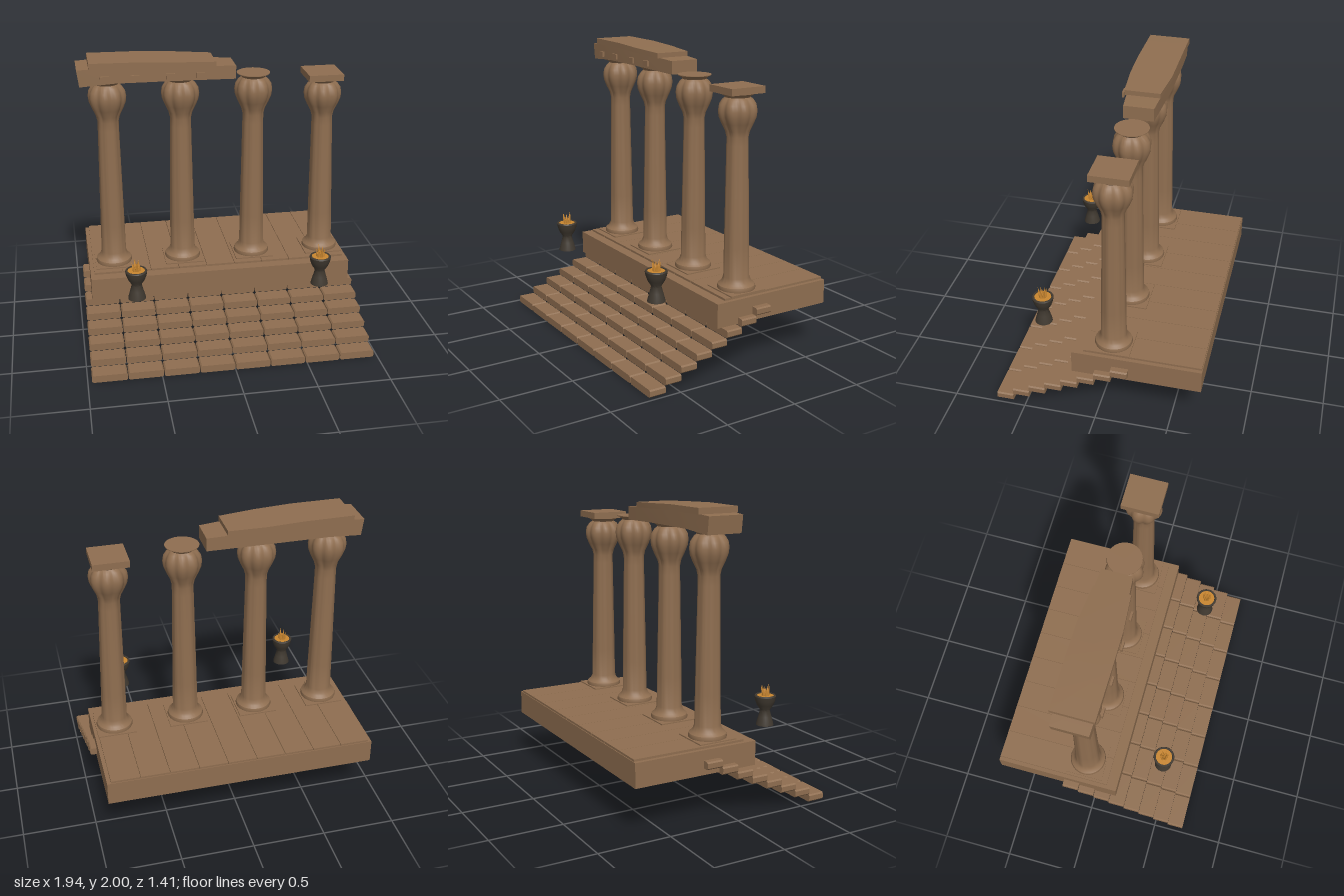
import * as THREE from 'three';
import { toCreasedNormals } from 'three/addons/utils/BufferGeometryUtils.js';

const mat = (name, color) => {
  const m = new THREE.MeshStandardMaterial({ color });
  m.name = name;
  return m;
};

export function createModel() {
  const root = new THREE.Group();
  root.name = 'ruinedColonnade';
  const stone = mat('sandstone', 0x8f6e50);
  const iron = mat('darkIron', 0x403930);
  const ember = mat('ember', 0xc9862f);

  const add = (parent, name, geo, m, x = 0, y = 0, z = 0) => {
    const mesh = new THREE.Mesh(geo, m);
    mesh.name = name;
    mesh.position.set(x, y, z);
    parent.add(mesh);
    return mesh;
  };
  const group = (name, parent = root) => {
    const g = new THREE.Group();
    g.name = name;
    parent.add(g);
    return g;
  };
  const box = (w, h, d) => new THREE.BoxGeometry(w, h, d);
  const points = list => list.map(([r, y]) => new THREE.Vector2(r, y));

  // Platform with long paving slabs
  add(root, 'platform', box(1.85, 0.165, 0.88), stone, 0, 0.408, -0.265);
  const paving = group('paving');
  for (let i = 0; i < 9; i++) {
    add(paving, 'pavingSlab', box(0.197, 0.02, 0.8), stone, (i - 4) * 0.2, 0.495, -0.3);
  }

  // Floating stair: eight rows of eight chamfered blocks
  const w = 0.119, h = 0.0255, c = 0.009;
  const outline = new THREE.Shape(points([
    [-w + c, -h], [w - c, -h], [w, -h + c], [w, h - c],
    [w - c, h], [-w + c, h], [-w, h - c], [-w, -h + c]]));
  const blockGeo = new THREE.ExtrudeGeometry(outline, { depth: 0.115, bevelEnabled: false });
  blockGeo.translate(0, 0, -0.0575);
  const stairs = group('stairs');
  for (let row = 0; row < 8; row++) {
    for (let i = 0; i < 8; i++) {
      add(stairs, 'stepBlock', blockGeo, stone,
        (i - 3.5) * 0.2435, 0.0265 + row * 0.0528, 0.65 - row * 0.1155);
    }
  }

  // Columns: a turned profile with eight lobes swelling in the capital
  const profile = points([
    [0, 0], [0.122, 0], [0.127, 0.015], [0.122, 0.035], [0.104, 0.05], [0.095, 0.065],
    [0.088, 0.09], [0.085, 0.3], [0.079, 0.65], [0.073, 1.0], [0.073, 1.06],
    [0.083, 1.1], [0.108, 1.15], [0.126, 1.195], [0.131, 1.235], [0.124, 1.275],
    [0.104, 1.305], [0.08, 1.322], [0.085, 1.33], [0.114, 1.347], [0.114, 1.352], [0, 1.352]]);
  const lathe = new THREE.LatheGeometry(profile, 64);
  const pos = lathe.attributes.position;
  for (let i = 0; i < pos.count; i++) {
    const x = pos.getX(i), y = pos.getY(i), z = pos.getZ(i);
    const depth = y > 1.08 && y < 1.31 ? 0.13 : y > 0.07 && y < 1.08 ? 0.05 : 0;
    const k = 1 - depth * (1 - Math.abs(Math.sin(4 * Math.atan2(z, x) + 0.6)));
    pos.setXYZ(i, x * k, y, z * k);
  }
  const columnGeo = toCreasedNormals(lathe, 0.6);
  [-0.746, -0.25, 0.257, 0.77].forEach((x, i) => {
    const column = group('column');
    column.position.set(x, 0.505, -0.08);
    add(column, 'plinth', box(0.27, 0.012, 0.27), stone, 0, 0.002, 0);
    const shaft = add(column, 'shaft', columnGeo, stone);
    if (i === 3) {
      // Shorter leaning column keeps its square cap
      shaft.scale.y = 0.959;
      shaft.rotation.z = 0.017;
      add(column, 'abacus', box(0.242, 0.045, 0.258), stone, -0.028, 1.318, 0);
    }
  });

  // Beams lofted through rectangular sections [x, bottom, top, back, front]
  const loft = sections => {
    const v = [], idx = [];
    sections.forEach(([x, b, t, k, f, skew = 0]) =>
      v.push(x, b, f, x, b, k, x - skew, t, k, x - skew, t, f));
    const quad = (p, q, r, s) => idx.push(p, q, r, p, r, s);
    for (let s = 0; s < sections.length - 1; s++) {
      for (let j = 0; j < 4; j++) {
        const n = (j + 1) % 4, a = s * 4, d = a + 4;
        quad(a + j, a + n, d + n, d + j);
      }
    }
    const e = (sections.length - 1) * 4;
    quad(3, 2, 1, 0);
    quad(e, e + 1, e + 2, e + 3);
    const g = new THREE.BufferGeometry();
    g.setAttribute('position', new THREE.Float32BufferAttribute(v, 3));
    g.setIndex(idx);
    return toCreasedNormals(g, 0.3);
  };
  const beams = group('entablature');
  add(beams, 'lowerBeam', loft([
    [-0.93, 1.84, 1.955, -0.21, 0.035, 0.015], [-0.7, 1.858, 1.968, -0.222, 0.046],
    [-0.3, 1.857, 1.955, -0.222, 0.046], [0.12, 1.842, 1.933, -0.193, 0.012]]), stone);
  add(beams, 'upperBeam', loft([
    [-0.865, 1.96, 2.0, -0.235, 0.05], [-0.52, 1.96, 1.997, -0.235, 0.056],
    [-0.27, 1.95, 1.985, -0.232, 0.056], [-0.02, 1.938, 1.973, -0.205, 0.038]]), stone);
  [-0.765, -0.565, -0.33, -0.13].forEach(x =>
    add(beams, 'frontBlock', box(0.06, 0.038, 0.014), stone, x, 1.895, 0.067));

  // Pair of braziers with burning coals
  const bowlGeo = toCreasedNormals(new THREE.LatheGeometry(points([
    [0, 0], [0.06, 0], [0.058, 0.012], [0.045, 0.06], [0.034, 0.1], [0.036, 0.11],
    [0.057, 0.142], [0.069, 0.175], [0.074, 0.203], [0.07, 0.21], [0.06, 0.21],
    [0.056, 0.19], [0, 0.19]]), 24), 0.6);
  const coalGeo = new THREE.CylinderGeometry(0.058, 0.057, 0.008, 24);
  for (const side of [-1, 1]) {
    const brazier = group('brazier');
    brazier.position.set(side * 0.633, 0.477, 0.453);
    add(brazier, 'bowl', bowlGeo, iron);
    add(brazier, 'coals', coalGeo, ember, 0, 0.202, 0);
    for (let i = 0; i < 7; i++) {
      const a = i * 1.047 + 0.3, r = i === 6 ? 0 : 0.023;
      const len = 0.062 + 0.012 * ((i * 2) % 3);
      const flame = add(brazier, 'flame', new THREE.ConeGeometry(0.012, len, 6), ember,
        Math.cos(a) * r, 0.202 + len / 2, Math.sin(a) * r);
      flame.rotation.set(Math.sin(a) * r * 8, 0, -Math.cos(a) * r * 8);
    }
  }
  return root;
}
